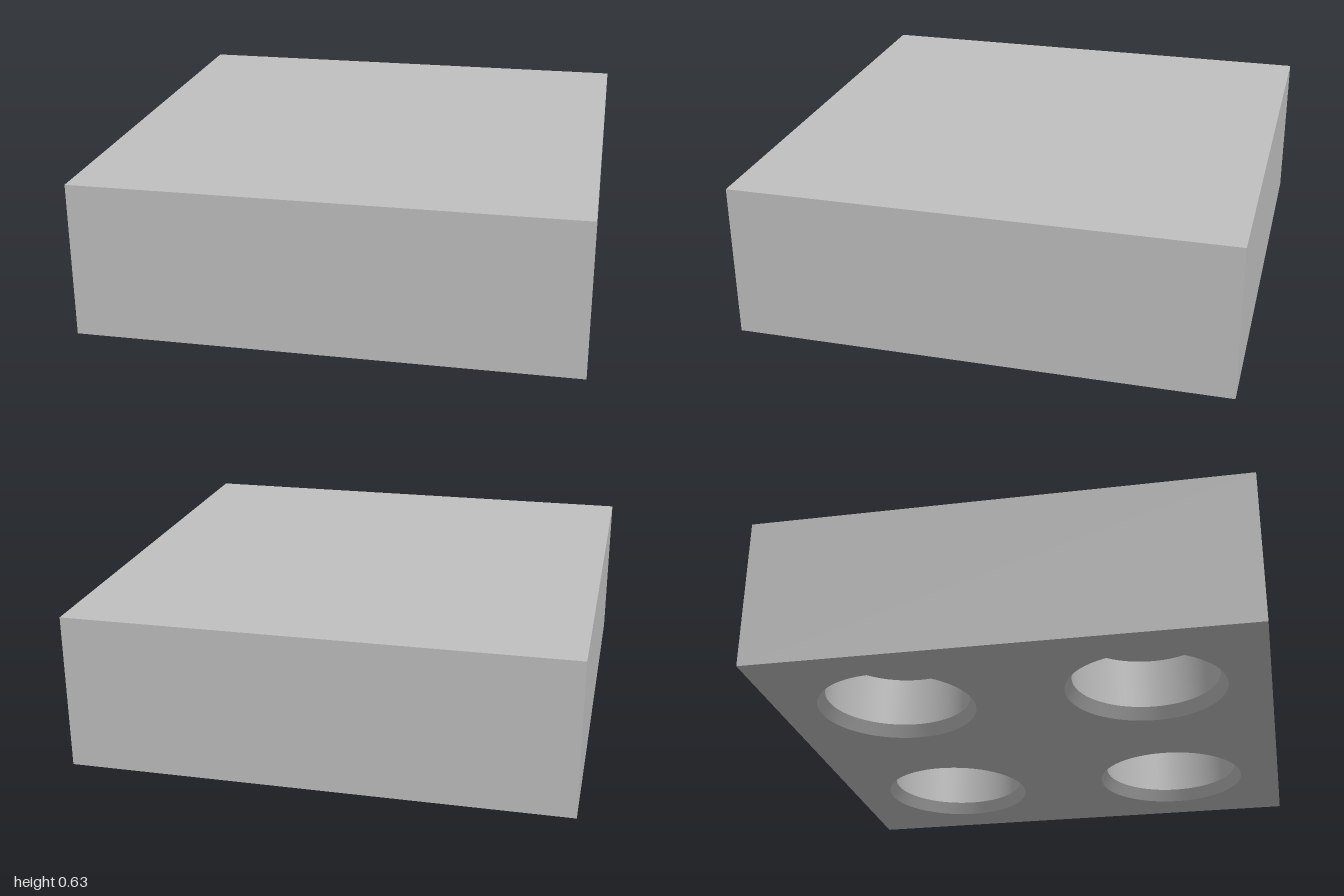
import * as THREE from 'three';

const HEIGHT = 0.63;
const HOLE_OFFSET = 0.51;
const MOUTH_RADIUS = 0.323;
const BORE_RADIUS = 0.295;
const CHAMFER_HEIGHT = 0.05;
const HOLE_DEPTH = 0.26;
const SEGMENTS = 64;

export function createModel() {
  const model = new THREE.Group();
  const grey = new THREE.MeshStandardMaterial({ color: 0xc0c0c0 });
  grey.name = 'plain grey';

  const add = (name, geometry, parent = model) => {
    const mesh = new THREE.Mesh(geometry, grey);
    mesh.name = name;
    parent.add(mesh);
    return mesh;
  };

  // Block: top and four walls, leaving out the bottom face (indices 18 to 23)
  const block = new THREE.BoxGeometry(2, HEIGHT, 2);
  const index = Array.from(block.index.array);
  index.splice(18, 6);
  block.setIndex(index);
  block.clearGroups();
  block.translate(0, HEIGHT / 2, 0);
  add('blockWalls', block);

  // Underside with four round openings
  const outline = new THREE.Shape([
    new THREE.Vector2(-1, -1), new THREE.Vector2(1, -1),
    new THREE.Vector2(1, 1), new THREE.Vector2(-1, 1),
  ]);

  // Blind holes: ceiling, straight bore and chamfered mouth, facing inward
  const rings = {
    holeCeiling: [[0, HOLE_DEPTH], [BORE_RADIUS, HOLE_DEPTH]],
    holeBore: [[BORE_RADIUS, HOLE_DEPTH], [BORE_RADIUS, CHAMFER_HEIGHT]],
    holeChamfer: [[BORE_RADIUS, CHAMFER_HEIGHT], [MOUTH_RADIUS, 0]],
  };
  for (const sx of [-1, 1]) {
    for (const sz of [-1, 1]) {
      const x = sx * HOLE_OFFSET;
      const z = sz * HOLE_OFFSET;
      const opening = new THREE.Path();
      opening.absarc(x, z, MOUTH_RADIUS, 0, Math.PI * 2, true);
      outline.holes.push(opening);

      const hole = new THREE.Group();
      hole.name = `${sz > 0 ? 'front' : 'back'}${sx > 0 ? 'Left' : 'Right'}Hole`;
      hole.position.set(x, 0, z);
      for (const [name, profile] of Object.entries(rings)) {
        const points = profile.map(([r, y]) => new THREE.Vector2(r, y));
        add(name, new THREE.LatheGeometry(points, SEGMENTS), hole);
      }
      model.add(hole);
    }
  }
  add('underside', new THREE.ShapeGeometry(outline, SEGMENTS / 2).rotateX(Math.PI / 2));

  return model;
}
